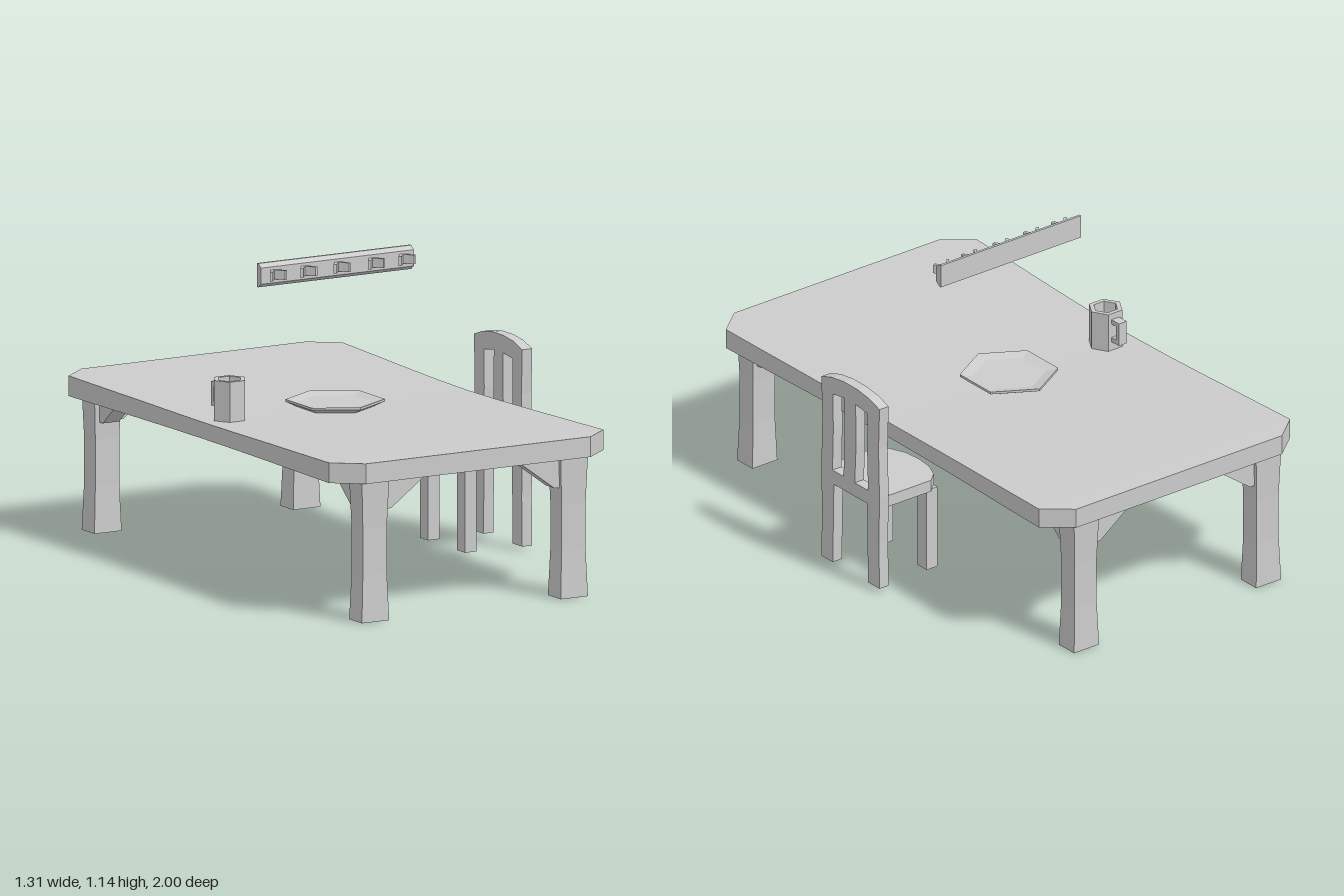
import * as THREE from 'three';

const grey = new THREE.MeshStandardMaterial({ color: 0xcccccc, flatShading: true });

function add(parent, name, geometry, x = 0, y = 0, z = 0) {
  const mesh = new THREE.Mesh(geometry, grey);
  mesh.name = name;
  mesh.position.set(x, y, z);
  parent.add(mesh);
  return mesh;
}

const path = (pts, Type = THREE.Shape) => new Type(pts.map(([x, y]) => new THREE.Vector2(x, y)));
const rect = (x0, y0, x1, y1) => path([[x0, y0], [x1, y0], [x1, y1], [x0, y1]], THREE.Path);

function extrude(pts, depth, holes = []) {
  const shape = path(pts);
  shape.holes.push(...holes);
  return new THREE.ExtrudeGeometry(shape, { depth, bevelEnabled: false });
}

// Moves every vertex of a geometry by a rule
function bend(geometry, rule) {
  const p = geometry.attributes.position;
  for (let i = 0; i < p.count; i++) p.setXYZ(i, ...rule(p.getX(i), p.getY(i), p.getZ(i)));
  geometry.computeVertexNormals();
  return geometry;
}

const lathe6 = (pts) => new THREE.LatheGeometry(pts.map(([r, y]) => new THREE.Vector2(r, y)), 6);

function makeTable() {
  const table = new THREE.Group();
  table.name = 'table';
  table.position.x = -0.075;

  // Slab: chamfered corners, slightly waisted sides, slightly worn middle
  const zs = [0, 0.23, 0.46, 0.69, 0.915, 1];
  const halfWidth = [0.56, 0.562, 0.567, 0.574, 0.58, 0.475];
  const topY = [0.578, 0.58, 0.584, 0.588, 0.592, 0.592];
  add(table, 'tableTop', bend(new THREE.BoxGeometry(2, 2, 2, 1, 1, 10), (x, y, z) => {
    const i = Math.round(Math.abs(z) * 5);
    return [x * halfWidth[i], y > 0 ? topY[i] : 0.517, Math.sign(z) * zs[i]];
  }));

  // Legs, narrower in the middle, each with two corner braces
  const braceOutline = [[0, 0.41], [0.075, 0.41], [0.225, 0.52], [0, 0.52]];
  for (const sx of [1, -1]) for (const sz of [1, -1]) {
    const corner = new THREE.Group();
    corner.name = 'legWithBraces';
    corner.position.set(sx * 0.42 - 0.005, 0, sz * 0.94);
    table.add(corner);
    add(corner, 'tableLeg', bend(new THREE.BoxGeometry(0.115, 0.52, 0.09, 1, 3, 1), (x, y, z) => {
      const waist = Math.abs(y) < 0.2 ? 0.88 : 1;
      return [x * waist, y, z * waist];
    }), 0, 0.26, 0);
    const xBrace = add(corner, 'braceAlongWidth', extrude(braceOutline, 0.06));
    xBrace.rotation.y = sx > 0 ? Math.PI : 0;
    xBrace.position.z = sx > 0 ? 0.03 : -0.03;
    const zBrace = add(corner, 'braceAlongLength', extrude(braceOutline.map(([u, y]) => [u * 0.87, y]), 0.07));
    zBrace.rotation.y = sz * Math.PI / 2;
    zBrace.position.x = -sz * 0.035;
  }
  return table;
}

function makeChair() {
  const chair = new THREE.Group();
  chair.name = 'chair';

  // Back frame with rear legs, arched top and two openings
  const half = [[0.103, 0.017], [0.17, 0.017], [0.166, 0.2], [0.17, 0.38], [0.164, 0.58], [0.17, 0.745], [0.11, 0.765], [0.04, 0.775]];
  const outline = [[0.097, 0.335], ...half, ...half.map(([u, y]) => [-u, y]).reverse(), [-0.097, 0.335]];
  const back = add(chair, 'chairBack', extrude(outline, 0.042, [
    path([[0.025, 0.39], [0.103, 0.39], [0.097, 0.56], [0.1, 0.7], [0.03, 0.71], [0.033, 0.55]], THREE.Path),
    path([[-0.04, 0.39], [-0.105, 0.39], [-0.1, 0.56], [-0.103, 0.7], [-0.035, 0.71], [-0.036, 0.55]], THREE.Path),
  ]), 0.61, 0, 0);
  back.rotation.y = Math.PI / 2;

  // Seat with a rounded front edge
  const seat = add(chair, 'seat', extrude([
    [0.615, -0.165], [0.615, 0.165], [0.41, 0.165], [0.37, 0.13], [0.345, 0.07],
    [0.338, 0], [0.345, -0.07], [0.37, -0.13], [0.41, -0.165],
  ], 0.045), 0, 0.38, 0);
  seat.rotation.x = Math.PI / 2;

  for (const s of [1, -1]) {
    add(chair, 'chairFrontLeg', new THREE.BoxGeometry(0.05, 0.323, 0.055), 0.4, 0.1785, s * 0.13);
  }
  return chair;
}

function makeMug() {
  const mug = new THREE.Group();
  mug.name = 'mug';
  mug.position.set(-0.522, 0.578, -0.005);
  add(mug, 'mugBody', lathe6([[0, 0], [0.065, 0], [0.065, 0.149], [0.046, 0.149], [0.044, 0.02], [0, 0.02]]))
    .rotation.y = Math.PI / 2;
  const handle = add(mug, 'mugHandle',
    extrude([[0.045, 0.035], [0.1, 0.035], [0.1, 0.125], [0.045, 0.125]], 0.035, [rect(0.05, 0.053, 0.083, 0.107)]),
    -0.0175, 0, 0);
  handle.rotation.y = Math.PI / 2;
  return mug;
}

function makeRack() {
  const rack = new THREE.Group();
  rack.name = 'hookRack';
  rack.position.set(-0.077, 1.096, 0);

  // Bevelled rail
  const rail = add(rack, 'rail', extrude([
    [0.015, -0.044], [0.015, 0.044], [0.005, 0.044], [-0.013, 0.03], [-0.013, -0.03], [0.005, -0.044],
  ], 0.646), -0.323, 0, 0);
  rail.rotation.y = Math.PI / 2;

  // Forked hooks, splayed toward the front
  const fork = [[-0.01, 0.01], [0.01, 0.01], [0.024, 0.03], [0.036, 0.047], [0.026, 0.052], [0.012, 0.034],
    [0, 0.02], [-0.012, 0.034], [-0.026, 0.052], [-0.036, 0.047], [-0.024, 0.03]];
  for (const x of [-0.27, -0.141, 0, 0.145, 0.274]) {
    add(rack, 'hook', extrude(fork, 0.034), x, 0.019, 0).rotation.x = Math.PI / 2;
  }
  return rack;
}

export function createModel() {
  const model = new THREE.Group();
  model.name = 'diningSet';
  model.add(makeTable(), makeChair(), makeMug(), makeRack());
  // Shallow six-sided plate
  add(model, 'plate', lathe6([[0, 0], [0.14, 0], [0.18, 0.018], [0.18, 0.027], [0.135, 0.017], [0, 0.017]]), -0.077, 0.578, -0.003);
  return model;
}
